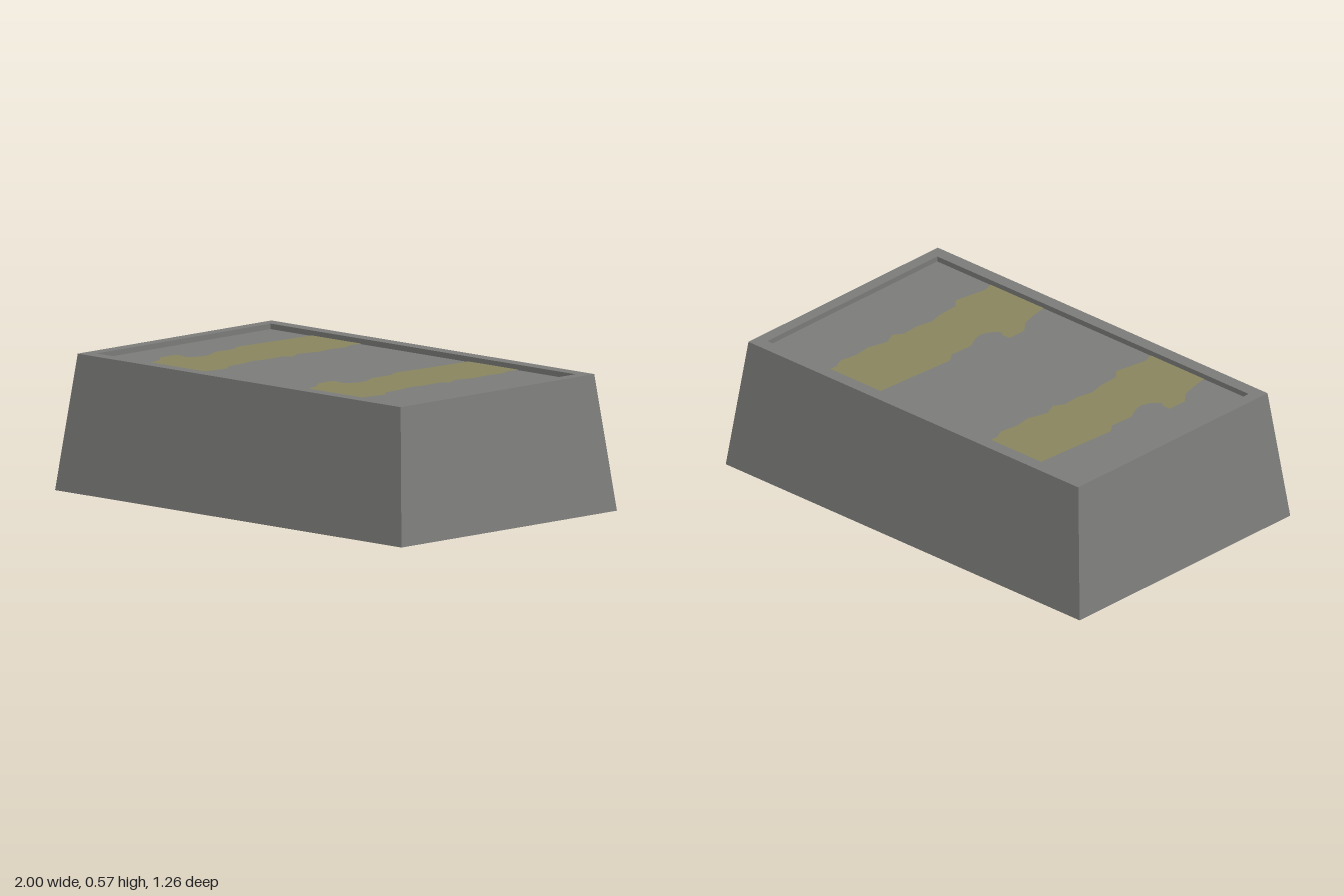
import * as THREE from 'three';

const HEIGHT = 0.57, FLOOR = 0.547;

// Rectangular rings [half width, y, half depth] joined by flat quads; first and last rings are capped
function rectLoft(rings) {
  const corners = rings.map(([x, y, z]) => [[-x, y, z], [x, y, z], [x, y, -z], [-x, y, -z]]);
  const positions = [];
  const quad = (a, b, c, d) => positions.push(...a, ...b, ...c, ...a, ...c, ...d);
  for (let r = 0; r < corners.length - 1; r++) {
    for (let i = 0; i < 4; i++) {
      const j = (i + 1) % 4;
      quad(corners[r][i], corners[r][j], corners[r + 1][j], corners[r + 1][i]);
    }
  }
  const first = corners[0], last = corners[corners.length - 1];
  quad(first[3], first[2], first[1], first[0]);
  quad(last[0], last[1], last[2], last[3]);
  const geometry = new THREE.BufferGeometry();
  geometry.setAttribute('position', new THREE.Float32BufferAttribute(positions, 3));
  geometry.computeVertexNormals();
  return geometry;
}

// Ragged stripe outline as (x, z), down the left edge and back up the right edge
const STRIPE = [
  [-0.64, -0.508], [-0.65, -0.32], [-0.66, -0.18], [-0.665, -0.09], [-0.635, -0.05],
  [-0.64, 0.06], [-0.61, 0.12], [-0.6, 0.16], [-0.615, 0.2], [-0.645, 0.235], [-0.67, 0.22],
  [-0.708, 0.22], [-0.708, 0.31], [-0.665, 0.36], [-0.645, 0.43], [-0.63, 0.508],
  [-0.33, 0.508], [-0.345, 0.46], [-0.335, 0.4], [-0.32, 0.31], [-0.355, 0.27],
  [-0.36, 0.17], [-0.375, 0.11], [-0.36, 0.03], [-0.365, -0.05], [-0.338, -0.09],
  [-0.365, -0.15], [-0.34, -0.24], [-0.35, -0.32], [-0.337, -0.4], [-0.36, -0.45], [-0.353, -0.508],
];

export function createModel() {
  const concrete = new THREE.MeshStandardMaterial({ color: 0x7e7e7c });
  concrete.name = 'grey concrete';
  const paint = new THREE.MeshStandardMaterial({ color: 0x8b8860 });
  paint.name = 'faded yellow';

  const model = new THREE.Group();
  model.name = 'taperedBlock';

  // Tapered block with a raised rim and a shallow sunken top
  const block = new THREE.Mesh(rectLoft([
    [1, 0, 0.632], [0.932, HEIGHT, 0.568], [0.88, HEIGHT, 0.51], [0.88, FLOOR, 0.51],
  ]), concrete);
  block.name = 'block';
  model.add(block);

  // Two matching worn stripes on the sunken top
  const outline = new THREE.Shape(STRIPE.map(([x, z]) => new THREE.Vector2(x, -z)));
  const stripeGeometry = new THREE.ShapeGeometry(outline).rotateX(-Math.PI / 2);
  [['rightStripe', 0], ['leftStripe', 0.907]].forEach(([name, x]) => {
    const stripe = new THREE.Mesh(stripeGeometry, paint);
    stripe.name = name;
    stripe.position.set(x, FLOOR + 0.003, 0);
    model.add(stripe);
  });

  return model;
}
